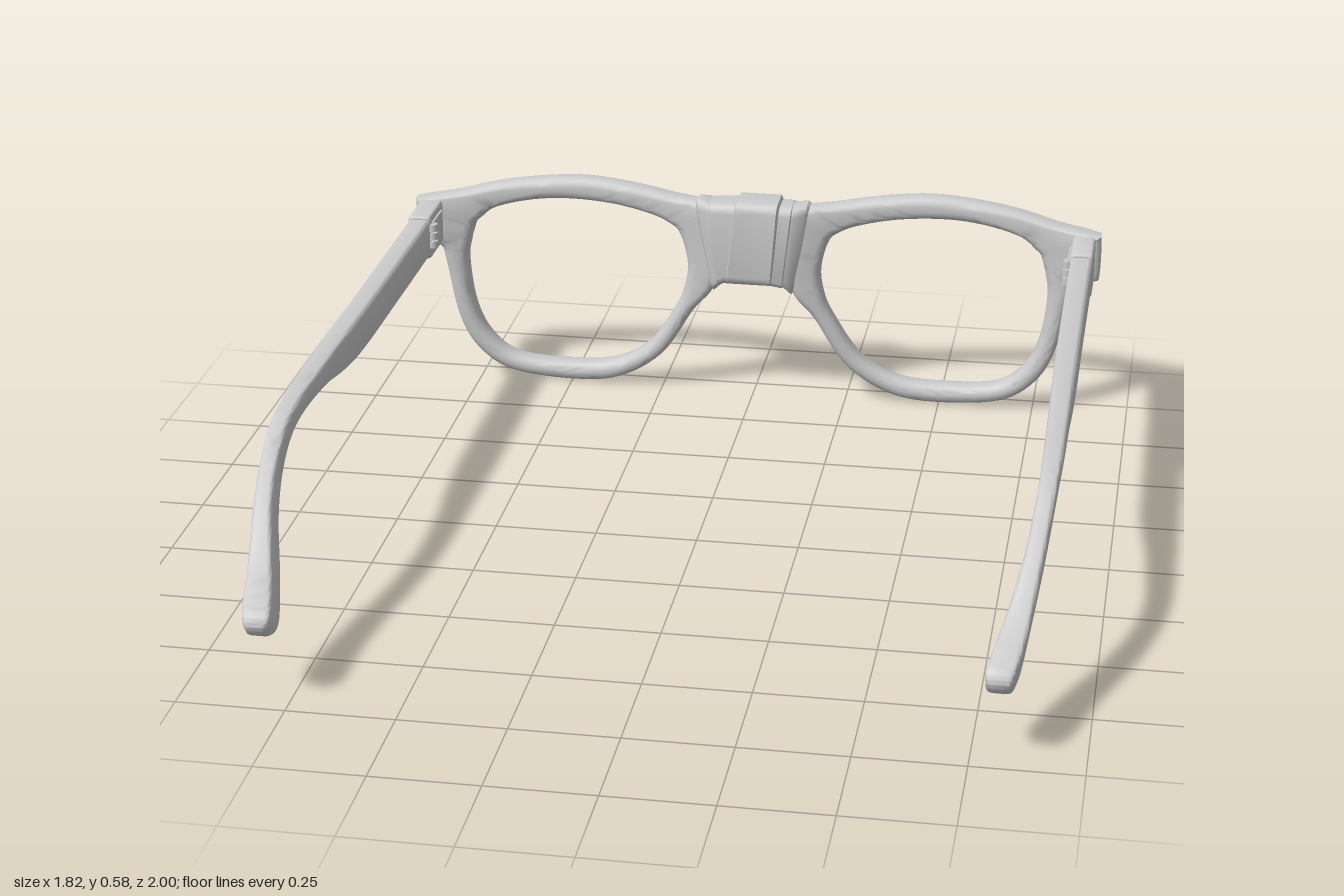
import * as THREE from 'three';
import { toCreasedNormals } from 'three/addons/utils/BufferGeometryUtils.js';

const material = new THREE.MeshStandardMaterial({ color: 0xcccccc });

// Uniform Catmull-Rom through rows of numbers
function smooth(rows, steps, closed) {
  const n = rows.length, out = [];
  const at = i => rows[closed ? (i + n) % n : Math.min(Math.max(i, 0), n - 1)];
  const segments = closed ? n : n - 1;
  for (let i = 0; i < segments; i++) {
    const [a, b, c, d] = [at(i - 1), at(i), at(i + 1), at(i + 2)];
    for (let s = 0; s < steps; s++) {
      const t = s / steps;
      out.push(b.map((v, k) => {
        const cubic = 3 * (v - c[k]) + d[k] - a[k];
        const square = 2 * a[k] - 5 * v + 4 * c[k] - d[k];
        return v + 0.5 * t * (c[k] - a[k] + t * (square + t * cubic));
      }));
    }
  }
  if (!closed) out.push(rows[n - 1]);
  return out;
}

// Rounded rectangle as [a, b] offsets about its centre
function roundedRect(w, h, radius, seg = 4) {
  const r = Math.min(radius, w * 0.49, h * 0.49), pts = [];
  [[1, 1], [-1, 1], [-1, -1], [1, -1]].forEach(([sx, sy], q) => {
    for (let i = 0; i <= seg; i++) {
      const t = (q + i / seg) * Math.PI / 2;
      pts.push([sx * (w / 2 - r) + r * Math.cos(t), sy * (h / 2 - r) + r * Math.sin(t)]);
    }
  });
  return pts;
}

// Skin a list of rings; open lofts get end caps, faces are turned outward
function loft(name, rings, closed, mirror = 1) {
  const m = rings[0].length, n = rings.length, pos = [], idx = [];
  rings.forEach(r => r.forEach(p => pos.push(p[0] * mirror, p[1], p[2])));
  for (let i = 0; i < (closed ? n : n - 1); i++) {
    for (let j = 0; j < m; j++) {
      const a = i * m + j, b = i * m + (j + 1) % m;
      const c = ((i + 1) % n) * m + j, d = ((i + 1) % n) * m + (j + 1) % m;
      idx.push(a, b, c, b, d, c);
    }
  }
  if (!closed) {
    const e = (n - 1) * m;
    for (let j = 1; j < m - 1; j++) idx.push(0, j + 1, j, e, e + j, e + j + 1);
  }
  let volume = 0;
  const v = i => new THREE.Vector3(pos[i * 3], pos[i * 3 + 1], pos[i * 3 + 2]);
  for (let i = 0; i < idx.length; i += 3) {
    volume += v(idx[i]).dot(v(idx[i + 1]).cross(v(idx[i + 2])));
  }
  if (volume < 0) idx.reverse();
  const geo = new THREE.BufferGeometry();
  geo.setAttribute('position', new THREE.Float32BufferAttribute(pos, 3));
  geo.setIndex(idx);
  const mesh = new THREE.Mesh(toCreasedNormals(geo, 0.75), material);
  mesh.name = name;
  return mesh;
}

// Rim stations: inner x, y and outer x, y around one lens opening
const RIM = [
  [.778, .337, .835, .33], [.77, .395, .85, .382], [.767, .41, .9, .392], [.765, .415, .911, .405],
  [.755, .445, .911, .502], [.74, .46, .9, .516], [.70, .49, .80, .532], [.61, .513, .67, .562],
  [.505, .522, .49, .582], [.385, .516, .35, .574], [.285, .498, .22, .555], [.23, .478, .13, .545],
  [.198, .449, .09, .53], [.178, .37, .085, .40], [.187, .30, .108, .305], [.212, .239, .163, .235],
  [.285, .127, .25, .10], [.383, .068, .37, .02], [.505, .054, .505, .002], [.65, .068, .665, .022],
  [.724, .127, .755, .085], [.763, .215, .805, .18],
];
const bow = x => -0.967 + 0.26 * (x - 0.5) ** 2;

function rim(side) {
  const rings = smooth(RIM, 6, true).map(([ix, iy, ox, oy]) => {
    const w = Math.hypot(ox - ix, oy - iy);
    return roundedRect(w, 0.066, 0.024).map(([a, b]) => {
      const s = a / w + 0.5, x = ix + (ox - ix) * s;
      return [x, iy + (oy - iy) * s, bow(x) + b];
    });
  });
  return loft('rim', rings, true, side);
}

// Temple arm stations: top z, y, bottom z, y, outer x, inner x
const ARM = [
  [-.80, .505, -.80, .405, .896, .840], [-.45, .505, -.45, .405, .896, .841],
  [-.1, .505, -.1, .406, .897, .843], [.08, .505, .06, .418, .897, .846],
  [.25, .503, .22, .443, .897, .849], [.42, .50, .40, .451, .897, .851],
  [.55, .482, .51, .434, .893, .851], [.66, .435, .61, .388, .886, .845],
  [.76, .368, .70, .322, .876, .831], [.86, .287, .79, .245, .862, .806],
  [.95, .242, .88, .180, .849, .784], [.985, .225, .93, .164, .841, .777],
  [.998, .205, .965, .165, .835, .782], [.997, .193, .983, .174, .825, .792],
];

function arm(side) {
  const rings = smooth(ARM, 5, false).map(([zt, yt, zb, yb, xo, xi]) => {
    const h = Math.hypot(zt - zb, yt - yb), w = xo - xi;
    return roundedRect(w, h, 0.01, 3).map(([a, b]) => {
      const s = b / h + 0.5;
      return [(xo + xi) / 2 + a, yb + (yt - yb) * s, zb + (zt - zb) * s];
    });
  });
  return loft('templeArm', rings, false, side);
}

// Block joining the arm to the rim corner, slightly chamfered at its inner end
function endBlock(side) {
  const rings = [[-.93, .06, .118], [-.775, .06, .118], [-.768, .05, .108]].map(([z, w, h]) =>
    roundedRect(w, h, .01, 3).map(([a, b]) => [.868 + a, .455 + b, z]));
  return loft('endBlock', rings, false, side);
}

// Hinge: plate and stacked knuckles inside the arm
function hinge(side) {
  const group = new THREE.Group();
  group.name = 'hinge';
  const plate = new THREE.Mesh(new THREE.BoxGeometry(.012, .07, .1), material);
  plate.name = 'hingePlate';
  plate.position.set(side * .839, .46, -.83);
  group.add(plate);
  for (const y of [.437, .46, .483]) {
    const knuckle = new THREE.Mesh(new THREE.CylinderGeometry(.013, .013, .019, 16), material);
    knuckle.name = 'hingeKnuckle';
    knuckle.position.set(side * .834, y, -.779);
    group.add(knuckle);
  }
  return group;
}

// Tape band stations: top x, bottom x, top y, bottom y, outer z, inner z
const TAPE = {
  bandRight: [
    [-.153, -.108, .55, .305, -.966, -.898], [-.148, -.103, .555, .303, -.97, -.89],
    [-.118, -.09, .556, .318, -.966, -.877], [-.108, -.085, .55, .328, -.962, -.876],
    [-.03, -.03, .55, .335, -.966, -.874]],
  bandRightInner: [
    [-.118, -.092, .549, .326, -.958, -.882], [-.113, -.088, .554, .322, -.97, -.873],
    [-.05, -.075, .556, .333, -.976, -.868], [-.02, -.04, .556, .335, -.976, -.868]],
  bandMiddle: [
    [-.046, -.070, .553, .342, -.974, -.872], [-.040, -.065, .562, .333, -.984, -.864],
    [.068, .050, .562, .333, -.984, -.864], [.074, .056, .553, .342, -.974, -.872]],
  bandLeftInner: [
    [.03, .03, .554, .335, -.975, -.868], [.105, .08, .554, .325, -.97, -.873],
    [.112, .086, .547, .33, -.958, -.882]],
  bandLeft: [
    [.03, .03, .55, .335, -.966, -.874], [.11, .085, .553, .325, -.965, -.877],
    [.143, .103, .555, .303, -.97, -.89], [.149, .109, .55, .307, -.966, -.898]],
};

function tape() {
  const group = new THREE.Group();
  group.name = 'bridgeTape';
  for (const [name, rows] of Object.entries(TAPE)) {
    const rings = rows.map(([xt, xb, yt, yb, zo, zi]) =>
      roundedRect(zi - zo, yt - yb, .025).map(([a, b]) => {
        const s = b / (yt - yb) + 0.5;
        return [xb + (xt - xb) * s, yb + (yt - yb) * s, (zo + zi) / 2 + a];
      }));
    group.add(loft(name, rings, false));
  }
  return group;
}

export function createModel() {
  const glasses = new THREE.Group();
  glasses.name = 'glasses';
  for (const side of [1, -1]) {
    const half = new THREE.Group();
    half.name = side > 0 ? 'leftSide' : 'rightSide';
    half.add(rim(side), endBlock(side), arm(side), hinge(side));
    glasses.add(half);
  }
  glasses.add(tape());
  return glasses;
}
